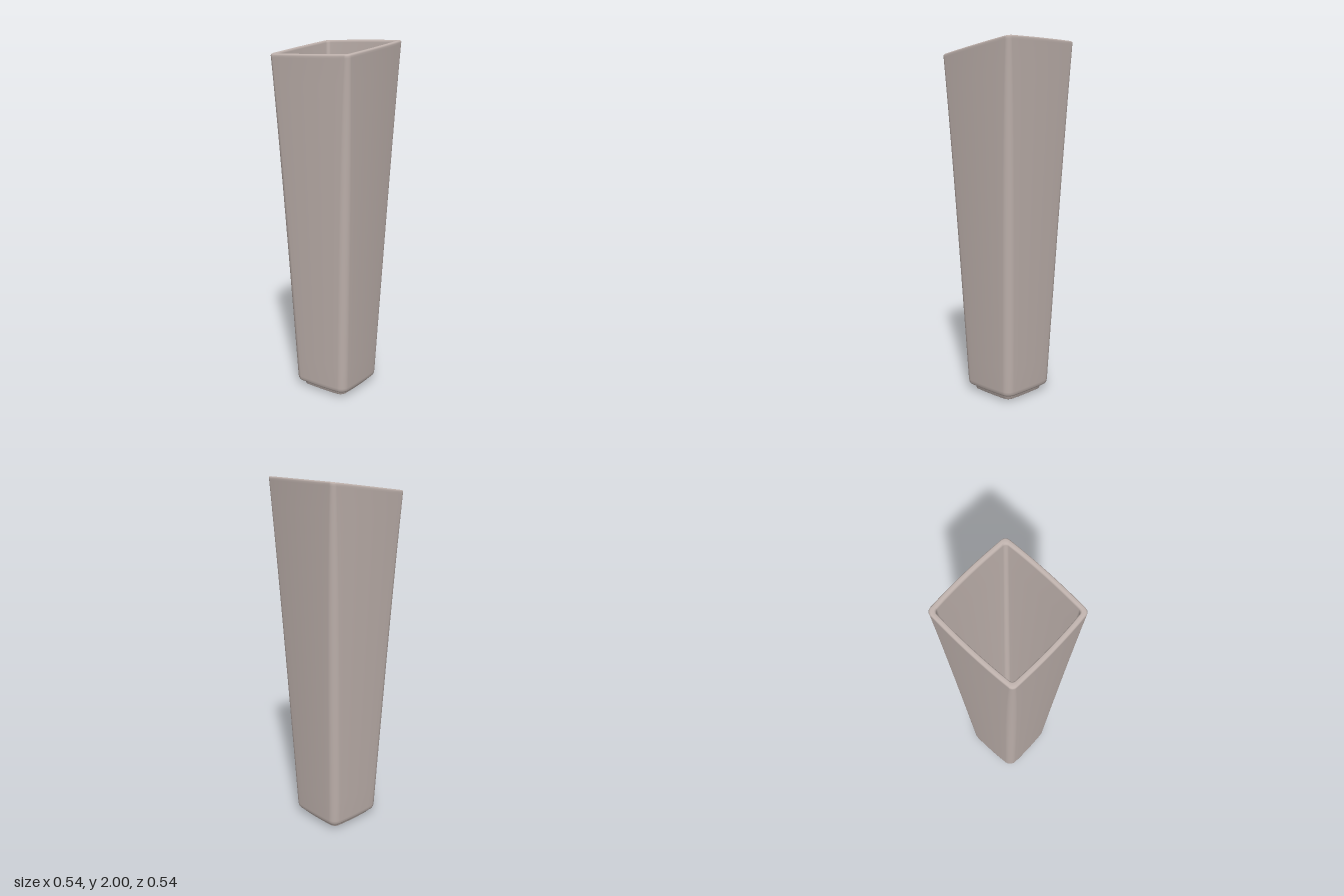
import * as THREE from 'three';

// Rounded square outline with slightly bowed sides, as [x, z] pairs.
function outline(half, radius) {
  const arcSteps = 6, sideSteps = 8, points = [];
  const r = Math.min(radius, half * 0.5), c = half - r;
  for (let side = 0; side < 4; side++) {
    const local = [];
    for (let i = 1; i < sideSteps; i++) local.push([half, -c + (2 * c * i) / sideSteps]);
    for (let i = 0; i <= arcSteps; i++) {
      const a = (i / arcSteps) * Math.PI / 2;
      local.push([c + r * Math.cos(a), c + r * Math.sin(a)]);
    }
    const cos = Math.round(Math.cos(side * Math.PI / 2));
    const sin = Math.round(Math.sin(side * Math.PI / 2));
    for (const [x, z] of local) points.push([x * cos - z * sin, x * sin + z * cos]);
  }
  const bow = 0.035, h = half || 1;
  return points.map(([x, z]) => [
    x * (1 - bow * (z / h) ** 2),
    z * (1 - bow * (x / h) ** 2),
  ]);
}

// Joins the outlines of each [half width, height, corner radius] level.
function loft(levels) {
  const positions = [], indices = [];
  let count = 0;
  for (const [half, y, radius] of levels) {
    const ring = outline(half, radius);
    count = ring.length;
    for (const [x, z] of ring) {
      // The rim slopes down towards -x; the slope fades out at the base.
      const drop = 0.0375 * (1 - x / 0.268) * Math.max(0, (y - 0.1) / 1.9);
      positions.push(x, y - drop, z);
    }
  }
  for (let i = 0; i < levels.length - 1; i++) {
    for (let j = 0; j < count; j++) {
      const k = (j + 1) % count;
      const a = i * count + j, b = i * count + k;
      const c = a + count, d = b + count;
      indices.push(a, c, b, b, c, d);
    }
  }
  const geometry = new THREE.BufferGeometry();
  geometry.setAttribute('position', new THREE.Float32BufferAttribute(positions, 3));
  geometry.setIndex(indices);
  geometry.computeVertexNormals();
  return geometry;
}

export function createModel() {
  const ceramic = new THREE.MeshStandardMaterial({ color: 0xc0b3ae });
  ceramic.name = 'warm grey ceramic';

  const levels = [
    // recessed underside and foot ring
    [0, 0.02, 0], [0.1, 0.02, 0.025], [0.108, 0.019, 0.025], [0.114, 0.004, 0.025],
    [0.119, 0, 0.028], [0.138, 0, 0.03], [0.144, 0.004, 0.032], [0.148, 0.025, 0.034],
    [0.151, 0.029, 0.034],
    // rounded shoulder
    [0.166, 0.031, 0.038], [0.174, 0.035, 0.042], [0.179, 0.044, 0.045], [0.181, 0.06, 0.045],
  ];
  // outer wall, with corners that tighten near the rim
  for (let i = 1; i <= 14; i++) {
    const t = i / 14;
    levels.push([0.181 + 0.086 * t, 0.06 + 1.92 * t, 0.045 - 0.02 * t ** 4]);
  }
  levels.push(
    // rounded lip
    [0.268, 1.99, 0.025], [0.266, 1.997, 0.025], [0.261, 2, 0.024],
    [0.248, 2, 0.02], [0.243, 1.997, 0.018], [0.241, 1.988, 0.018],
  );
  // inner wall down to the floor
  for (let i = 1; i <= 10; i++) {
    const t = i / 10;
    levels.push([0.241 - 0.077 * t, 1.988 - 1.888 * t, 0.018 + 0.012 * t]);
  }
  levels.push([0.161, 0.082, 0.03], [0.154, 0.073, 0.03], [0.145, 0.07, 0.028], [0, 0.07, 0]);

  const vase = new THREE.Mesh(loft(levels), ceramic);
  vase.name = 'vase';
  const model = new THREE.Group();
  model.name = 'squareTaperedVase';
  model.add(vase);
  return model;
}
